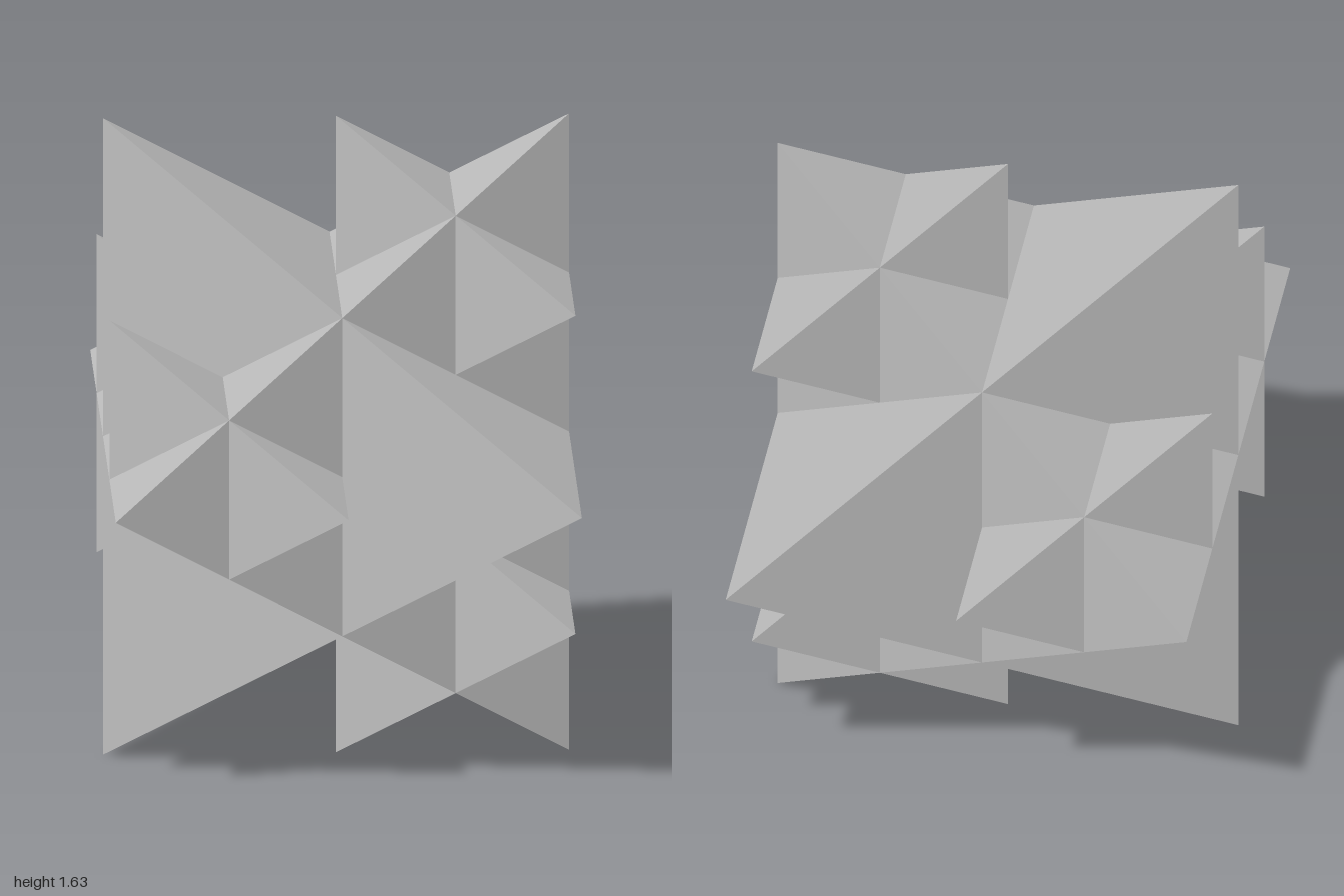
import * as THREE from 'three';

// Mesh of flat triangles, each given as three Vector3 corners
function facets(name, triangles, material) {
  const geometry = new THREE.BufferGeometry().setFromPoints(triangles.flat());
  geometry.computeVertexNormals();
  const mesh = new THREE.Mesh(geometry, material);
  mesh.name = name;
  return mesh;
}

// Splits a face into three flat corners and a tetrahedron raised on its middle, then repeats on the new faces
function growFace([a, b, c], level, layers) {
  if (level === layers.length - 1) {
    layers[level].push([a, b, c]);
    return;
  }
  const mid = (p, q) => p.clone().add(q).multiplyScalar(0.5);
  const ab = mid(a, b), bc = mid(b, c), ca = mid(c, a);
  layers[level].push([a, ab, ca], [ab, b, bc], [ca, bc, c]);

  const normal = new THREE.Triangle(a, b, c).getNormal(new THREE.Vector3());
  const height = ab.distanceTo(bc) * Math.sqrt(2 / 3);
  const tip = a.clone().add(b).add(c).divideScalar(3).addScaledVector(normal, height);
  for (const [p, q] of [[ab, bc], [bc, ca], [ca, ab]]) growFace([p, q, tip], level + 1, layers);
}

export function createModel() {
  const group = new THREE.Group();
  group.name = 'fractalStar';
  const grey = new THREE.MeshStandardMaterial({ color: 0xc0c0c0 });
  grey.name = 'grey';

  // Regular tetrahedron in a unit sphere, one corner pointing forward
  const r = Math.sqrt(8) / 3, h = Math.sqrt(2 / 3);
  const front = new THREE.Vector3(0, h, 1);
  const side = new THREE.Vector3(r, h, -1 / 3);
  const top = new THREE.Vector3(-r / 2, 2 * h, -1 / 3);
  const bottom = new THREE.Vector3(-r / 2, 0, -1 / 3);

  // Layers: core, spikes, small spikes
  const layers = [[], [], []];
  const faces = [[front, side, top], [front, top, bottom], [front, bottom, side], [side, bottom, top]];
  for (const face of faces) growFace(face, 0, layers);

  ['coreTetrahedron', 'largeSpikes', 'smallSpikes'].forEach((name, i) => {
    group.add(facets(name, layers[i], grey));
  });
  return group;
}
